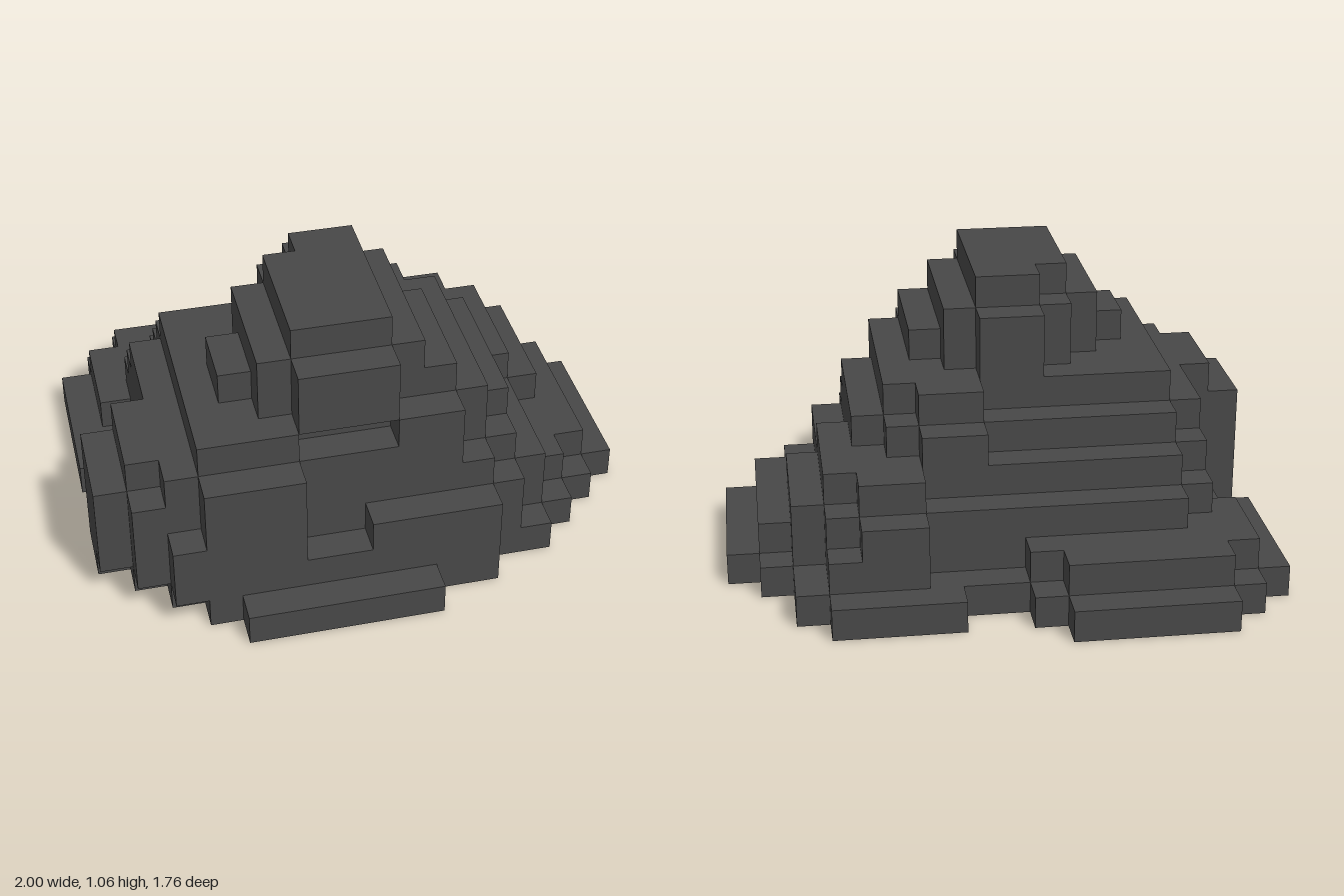
import * as THREE from 'three';

const CELL = 2 / 17;
const NX = 17, NZ = 15, NY = 9;

export function createModel() {
  const rock = new THREE.Group();
  rock.name = 'steppedRock';
  const stone = new THREE.MeshStandardMaterial({ color: 0x484848 });
  stone.name = 'darkStone';

  // Solid cells, filled layer by layer with blocks [zStart, zEnd, xStart, xEnd]
  const solid = new Set();
  const key = (x, y, z) => (y * NZ + z) * NX + x;
  const filled = (x, y, z) =>
    x >= 0 && x < NX && y >= 0 && y < NY && z >= 0 && z < NZ && solid.has(key(x, y, z));
  const fill = (y, ...blocks) => {
    for (const [z0, z1, x0, x1] of blocks)
      for (let z = z0; z < z1; z++)
        for (let x = x0; x < x1; x++) solid.add(key(x, y, z));
  };

  // Broad foot, undercut at the front right corner
  fill(0, [0, 1, 2, 7], [1, 2, 1, 8], [1, 2, 10, 14], [2, 4, 0, 15], [4, 5, 0, 16], [5, 7, 0, 17],
    [7, 9, 1, 17], [9, 10, 0, 17], [10, 11, 0, 16], [11, 12, 1, 15], [12, 13, 2, 14],
    [13, 14, 3, 12], [14, 15, 4, 10]);
  // Body, stepping down to the back and left
  fill(1, [1, 2, 2, 7], [2, 3, 1, 8], [2, 3, 11, 14], [3, 4, 1, 14], [4, 5, 1, 15], [5, 9, 2, 16],
    [9, 10, 0, 16], [10, 11, 0, 15], [11, 12, 0, 14], [12, 13, 1, 13], [13, 14, 2, 12]);
  fill(2, [2, 3, 11, 13], [3, 4, 3, 14], [4, 8, 2, 15], [8, 9, 2, 14], [9, 12, 0, 14],
    [12, 13, 1, 13], [13, 14, 2, 6], [13, 14, 8, 12]);
  fill(3, [3, 4, 11, 13], [4, 5, 3, 14], [5, 8, 2, 14], [8, 9, 2, 13], [9, 12, 0, 13],
    [12, 13, 1, 12], [13, 14, 3, 6]);
  fill(4, [4, 5, 9, 11], [5, 6, 3, 12], [6, 9, 2, 13], [9, 11, 1, 13], [11, 12, 1, 12],
    [12, 13, 2, 11], [13, 14, 3, 6]);
  // Shoulder, with a notch under the front of the peak
  fill(5, [5, 6, 9, 11], [6, 12, 3, 12], [12, 13, 3, 6], [12, 13, 9, 11]);
  // Peak
  fill(6, [6, 7, 7, 9], [7, 8, 6, 10], [8, 9, 5, 11], [9, 11, 4, 11], [11, 12, 5, 11], [12, 13, 6, 9]);
  fill(7, [6, 7, 7, 9], [7, 8, 6, 10], [8, 12, 5, 10], [12, 13, 6, 9]);
  fill(8, [7, 8, 7, 9], [8, 12, 6, 9]);

  // Exposed cell faces only: each face has a normal n and in-plane axes u, v with u x v = n
  const faces = [];
  for (let axis = 0; axis < 3; axis++)
    for (const sign of [1, -1]) {
      const n = [0, 0, 0], u = [0, 0, 0], v = [0, 0, 0];
      n[axis] = sign;
      u[(axis + 1) % 3] = 1;
      v[(axis + 2) % 3] = sign;
      faces.push({ n, u, v });
    }
  const corners = [[-1, -1], [1, -1], [1, 1], [-1, -1], [1, 1], [-1, 1]];

  for (let y = 0; y < NY; y++) {
    const position = [], normal = [];
    for (let z = 0; z < NZ; z++)
      for (let x = 0; x < NX; x++) {
        if (!filled(x, y, z)) continue;
        const centre = [x + 0.5 - NX / 2, y + 0.5, z + 0.5 - NZ / 2];
        for (const { n, u, v } of faces) {
          if (filled(x + n[0], y + n[1], z + n[2])) continue;
          for (const [a, b] of corners) {
            for (let i = 0; i < 3; i++)
              position.push(CELL * (centre[i] + 0.5 * (n[i] + a * u[i] + b * v[i])));
            normal.push(...n);
          }
        }
      }
    const geometry = new THREE.BufferGeometry();
    geometry.setAttribute('position', new THREE.Float32BufferAttribute(position, 3));
    geometry.setAttribute('normal', new THREE.Float32BufferAttribute(normal, 3));
    const mesh = new THREE.Mesh(geometry, stone);
    mesh.name = `rockLayer${y + 1}`;
    rock.add(mesh);
  }
  return rock;
}
